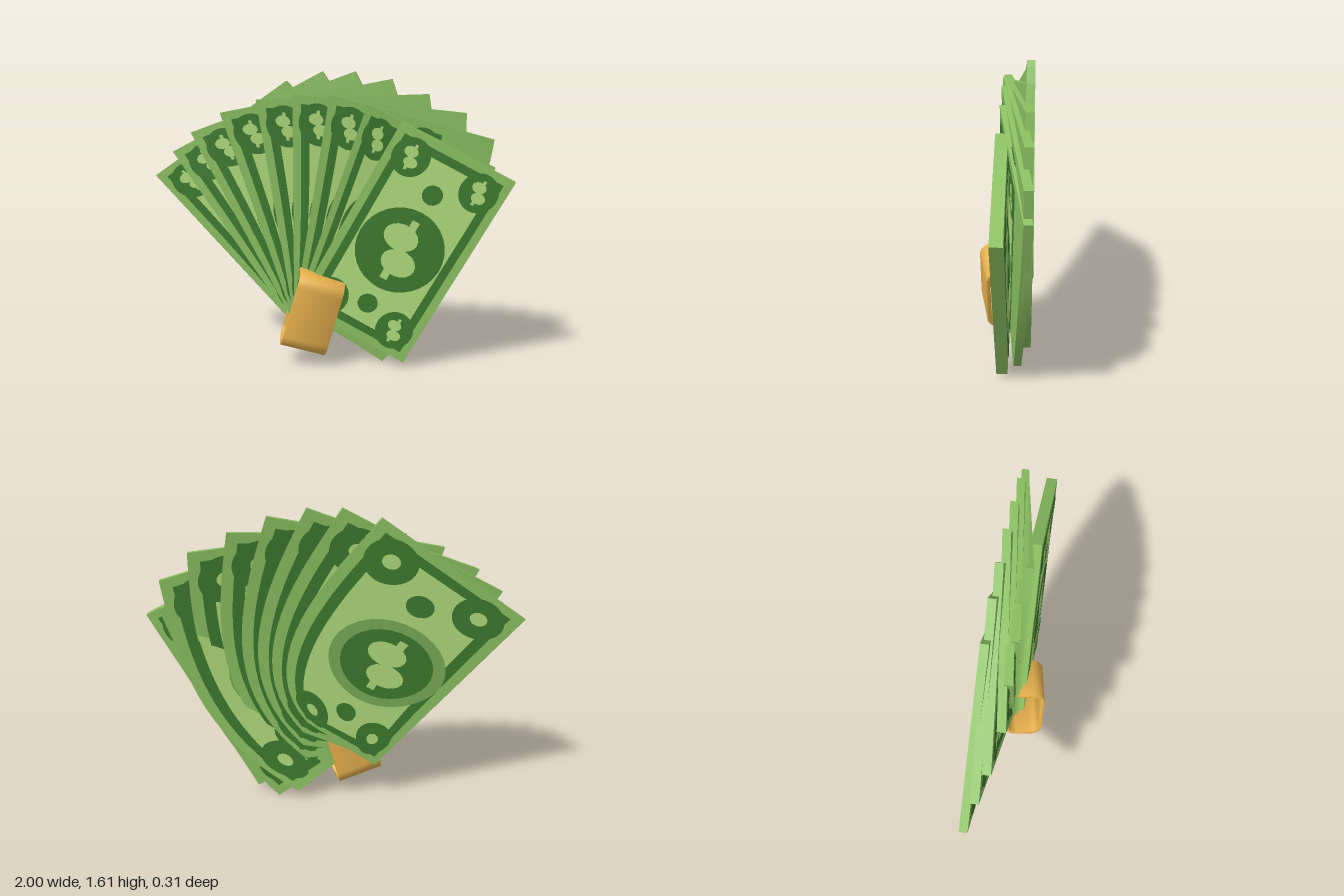
import * as THREE from 'three';
import { mergeGeometries, toCreasedNormals } from 'three/addons/utils/BufferGeometryUtils.js';

const W = 0.67, H = 1.16; // size of an unbent note

const material = (name, color) => {
  const m = new THREE.MeshStandardMaterial({ color });
  m.name = name;
  return m;
};

// Small printed pieces, all lying in the plane of the note
const disc = (x, y, r, z, sx = 1) =>
  new THREE.RingGeometry(0, r, r > 0.1 ? 32 : 18, r > 0.1 ? 4 : 2).scale(sx, 1, 1).translate(x, y, z);
const panel = (x, y, w, h, z, nx = 1, ny = 6) =>
  new THREE.PlaneGeometry(w, h, nx, ny).translate(x, y, z);

// Abstract ornament: an upright bar with two offset lobes
const ornament = (x, y, s, z) => [
  panel(x, y, 0.045 * s, 0.38 * s, z),
  disc(x - 0.03 * s, y + 0.07 * s, 0.078 * s, z + 0.0004, 1.3),
  disc(x + 0.03 * s, y - 0.07 * s, 0.078 * s, z + 0.0004, 1.3),
];

// Print for one side of a note, sorted by colour; the back is plainer
function printSide(z, back) {
  const mx = back ? 0.05 : 0, my = back ? -0.01 : -0.03;
  const dark = [panel(0, 0, W - 0.09, H - 0.09, z + 0.0015, 12, 18)];
  const light = [panel(0, 0, W - 0.18, H - 0.18, z + 0.003, 12, 18)];
  dark.push(disc(mx, my, back ? 0.19 : 0.238, z + 0.005));
  light.push(...ornament(mx, my, back ? 0.8 : 0.95, z + 0.0065));
  for (const sy of [-1, 1]) {
    dark.push(disc(0, my + sy * 0.345, 0.055, z + 0.0045));
    for (const sx of [-1, 1]) {
      const x = sx * 0.2, y = sy * 0.44;
      dark.push(disc(x, y, 0.108, z + 0.0045, 0.95));
      if (back) light.push(disc(x, y, 0.035, z + 0.006));
      else light.push(...ornament(x, y, 0.38, z + 0.006));
    }
  }
  return { dark: mergeGeometries(dark), light: mergeGeometries(light) };
}

// Maps the flat note onto four corners; the right edge may curve inward at the foot
function warp(geometry, { tl, tr, bl, br, bend }) {
  const down = bend ? bl.clone().sub(tl) : br.clone().sub(tr);
  const upper = tr.clone().addScaledVector(down, bend ? 0.37 : 1 / 3);
  const lower = tr.clone().addScaledVector(down, bend || 2 / 3);
  upper.z = THREE.MathUtils.lerp(tr.z, br.z, 1 / 3);
  lower.z = THREE.MathUtils.lerp(tr.z, br.z, 2 / 3);
  const edge = new THREE.CubicBezierCurve3(br, lower, upper, tr);
  const p = geometry.attributes.position;
  const left = new THREE.Vector3(), right = new THREE.Vector3();
  for (let i = 0; i < p.count; i++) {
    const u = p.getX(i) / W + 0.5, v = p.getY(i) / H + 0.5;
    left.lerpVectors(bl, tl, v);
    edge.getPoint(v, right);
    left.lerp(right, u);
    p.setXYZ(i, left.x, left.y, left.z + p.getZ(i));
  }
  geometry.computeVertexNormals();
  return geometry;
}

// Rounded rectangle outline for the band's loop
function roundedLoop(path, a, b, r) {
  path.absarc(a - r, b - r, r, 0, Math.PI / 2, false);
  path.absarc(r - a, b - r, r, Math.PI / 2, Math.PI, false);
  path.absarc(r - a, r - b, r, Math.PI, Math.PI * 1.5, false);
  path.absarc(a - r, r - b, r, Math.PI * 1.5, Math.PI * 2, false);
  path.closePath();
  return path;
}

export function createModel() {
  const model = new THREE.Group();
  model.name = 'fanOfBanknotes';

  const rimGreen = material('rim green', 0x8bc062);
  const paleGreen = material('pale green', 0xaeda7a);
  const darkGreen = material('dark green', 0x3c7a2e);
  const midGreen = material('mid green', 0x78aa56);
  const gold = material('gold', 0xebb44e);

  // Top left, top right and bottom right of each note (x, y), from rear to front
  const corners = [
    [-1.0, 1.03, -0.24, 1.56, 0.15, 0.47],
    [-0.88, 1.17, -0.04, 1.61, 0.17, 0.4],
    [-0.76, 1.28, 0.14, 1.61, 0.17, 0.32],
    [-0.58, 1.39, 0.34, 1.57, 0.16, 0.24],
    [-0.38, 1.46, 0.54, 1.49, 0.14, 0.17],
    [-0.18, 1.49, 0.74, 1.39, 0.13, 0.11],
    [0.02, 1.49, 0.89, 1.25, 0.2, 0.05],
    [0.22, 1.44, 0.9, 1.1, 0.31, 0.0],
    [0.4, 1.35, 0.995, 1.04, 0.43, 0.03],
  ];
  // Depth of each note's bottom right corner
  const footDepth = [-0.135, -0.11, -0.104, -0.098, -0.092, -0.086, -0.125, -0.075, 0.004];

  corners.forEach(([lx, ly, rx, ry, bx, by], i) => {
    const front = i === corners.length - 1;
    const thickness = front ? 0.06 : 0.042;
    const z = 0.004; // the front note lies flat
    const fan = {
      tl: new THREE.Vector3(lx, ly, front ? z : Math.min(0, -0.12 + 0.04 * i)),
      tr: new THREE.Vector3(rx, ry, front ? z : -0.13),
      bl: new THREE.Vector3(-0.22 + 0.007 * i, 0.2 + 0.0175 * i, front ? z : i ? -0.078 + 0.01 * i : -0.115),
      br: new THREE.Vector3(bx, by, footDepth[i]),
      bend: front ? 0 : 0.88 - 0.028 * i,
    };
    const note = new THREE.Group();
    note.name = `banknote${i + 1}`;
    const add = (name, geometry, mat) => {
      const mesh = new THREE.Mesh(warp(geometry, fan), mat);
      mesh.name = name;
      note.add(mesh);
    };
    add('paper', new THREE.BoxGeometry(W, H, thickness, 12, 18, 1), rimGreen);

    // Front print keeps its true width, set against the left edge of the wider notes
    const fit = front ? 1 : 0.74;
    const face = printSide(thickness / 2, false);
    for (const g of [face.dark, face.light]) g.scale(fit, 1, 1).translate((fit - 1) * W / 2, 0, 0);
    add('frontDarkPrint', face.dark, darkGreen);
    add('frontPalePrint', face.light, paleGreen);

    const rear = printSide(thickness / 2, true);
    add('backDarkPrint', rear.dark.rotateY(Math.PI), darkGreen);
    add('backPalePrint', rear.light.rotateY(Math.PI), paleGreen);
    add('backMedallionRing', disc(0.05, -0.01, 0.24, thickness / 2 + 0.004).rotateY(Math.PI), midGreen);
    model.add(note);
  });

  // Gold band: a tall rounded loop wrapped around the foot of the fan
  const loop = roundedLoop(new THREE.Shape(), 0.108, 0.212, 0.07);
  loop.holes.push(roundedLoop(new THREE.Path(), 0.092, 0.196, 0.054));
  const band = new THREE.ExtrudeGeometry(loop, {
    depth: 0.245, curveSegments: 12,
    bevelEnabled: true, bevelSize: 0.004, bevelThickness: 0.004, bevelSegments: 2,
  });
  band.translate(0, 0, -0.1225).rotateY(Math.PI / 2 + 0.2).rotateZ(-0.28);
  const clip = new THREE.Mesh(toCreasedNormals(band, 0.7), gold);
  clip.name = 'goldBand';
  clip.position.set(-0.078, 0.3, 0.02);
  model.add(clip);

  return model;
}
